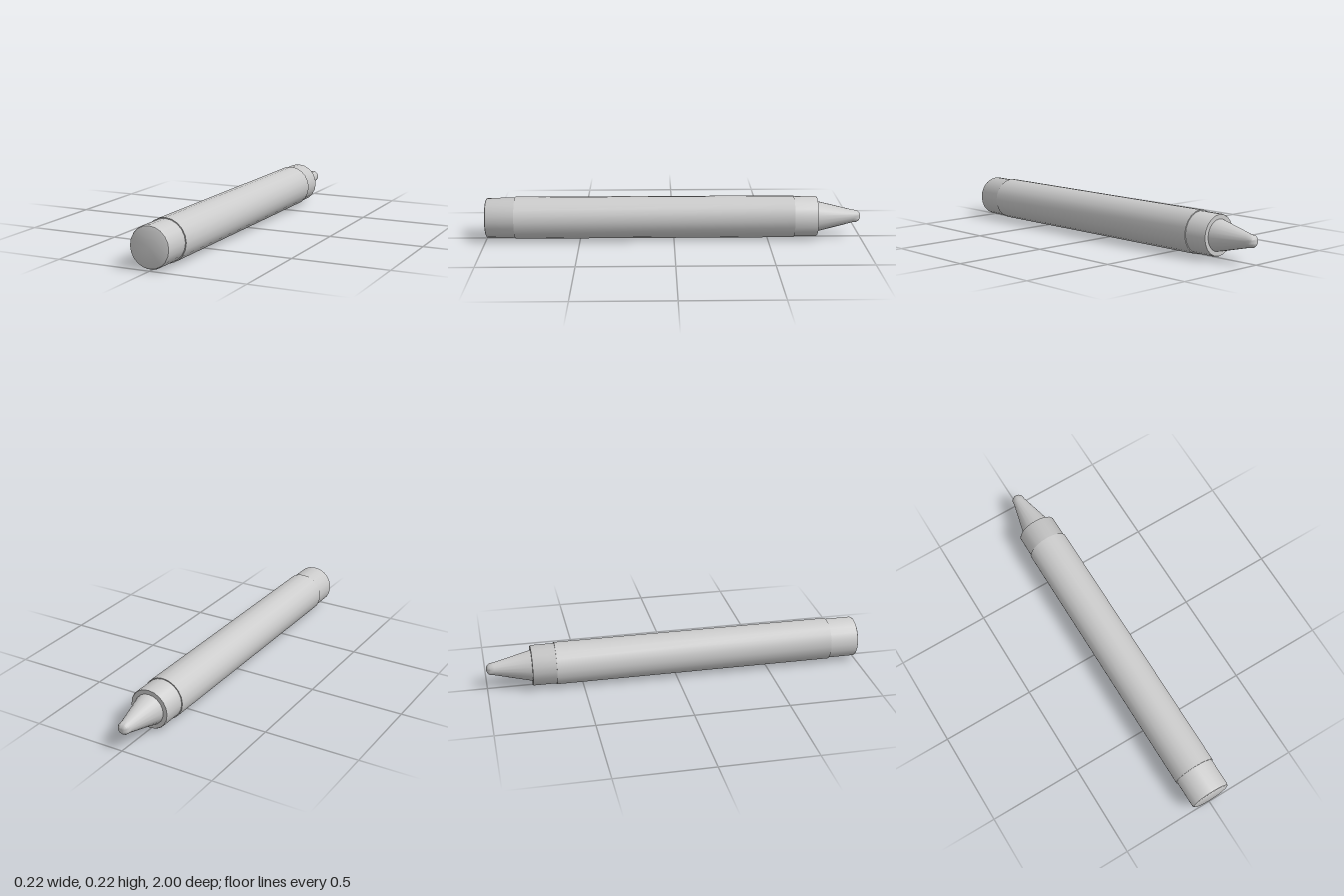
import * as THREE from 'three';
import { toCreasedNormals } from 'three/addons/utils/BufferGeometryUtils.js';

const SIDES = 20;
const AXIS_HEIGHT = 0.114;

// Turns a [radius, distance towards the tip] profile around the long axis; the tip points to -z.
function turned(name, profile) {
  const points = profile.map(([r, d]) => new THREE.Vector2(r, d));
  const geometry = new THREE.LatheGeometry(points, SIDES).rotateX(-Math.PI / 2);
  const material = new THREE.MeshStandardMaterial({ color: 0xcccccc });
  const mesh = new THREE.Mesh(toCreasedNormals(geometry, Math.PI / 5), material);
  mesh.name = name;
  mesh.position.y = AXIS_HEIGHT;
  return mesh;
}

export function createModel() {
  const group = new THREE.Group();
  group.name = 'crayon';

  // Wax stick with a softened flat end and a flat shoulder
  group.add(turned('waxBody', [
    [0, -1], [0.097, -1], [0.103, -0.997], [0.107, -0.988],
    [0.107, 0.76], [0.104, 0.765], [0, 0.765],
  ]));

  // Tapered writing tip with a rounded end
  const tip = [[0.083, 0.76], [0.034, 0.958]];
  const start = 0.24;
  const radius = 0.034 / Math.cos(start);
  const centre = 1 - radius;
  for (let i = 1; i <= 6; i++) {
    const a = start + (Math.PI / 2 - start) * (i / 6);
    tip.push([i === 6 ? 0 : radius * Math.cos(a), centre + radius * Math.sin(a)]);
  }
  group.add(turned('tip', tip));

  // Paper sleeve, slightly proud of the wax
  group.add(turned('paperWrapper', [
    [0.104, -0.845], [0.112, -0.845], [0.112, 0.64], [0.104, 0.64],
  ]));

  return group;
}
